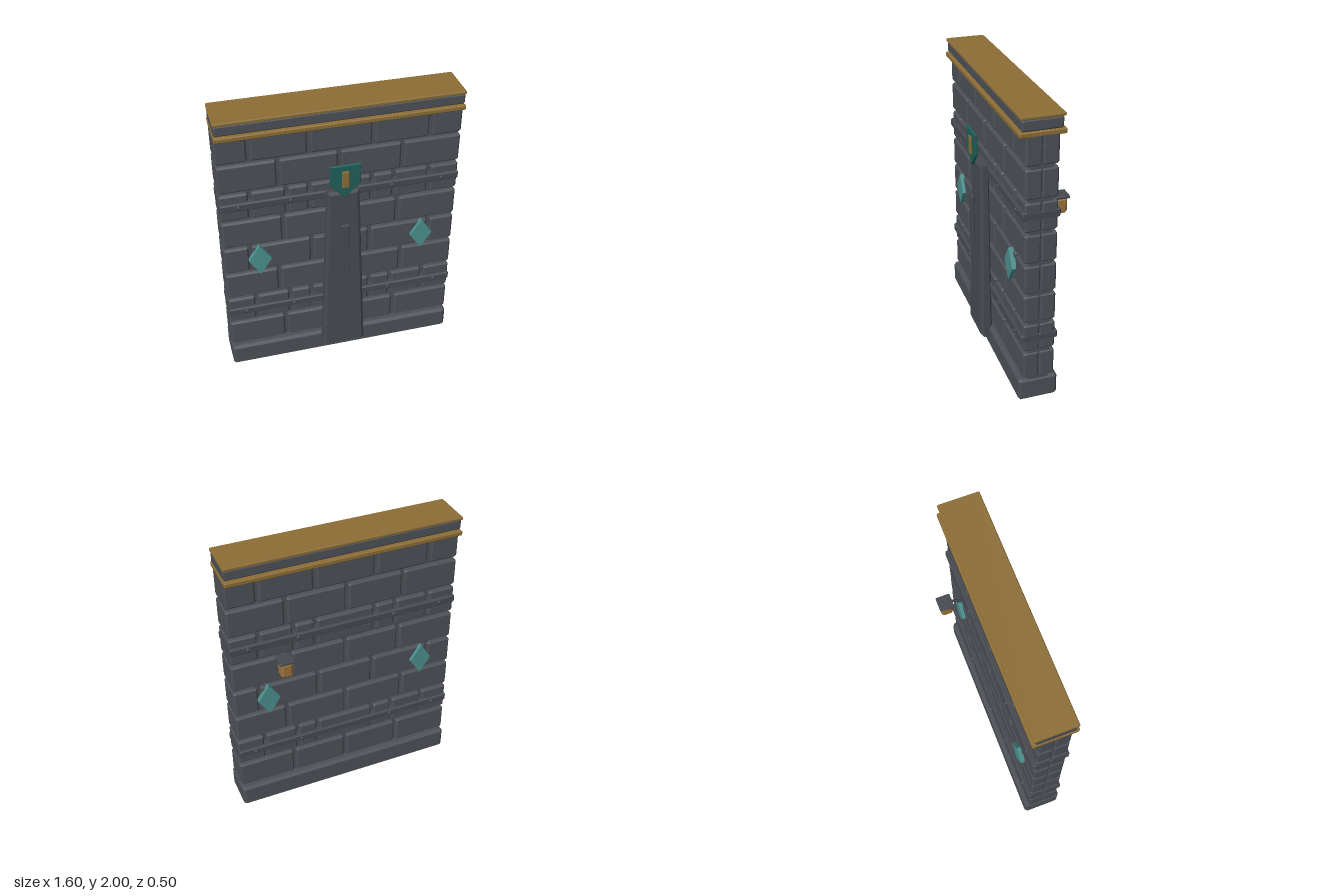
import * as THREE from 'three';
import { ConvexGeometry } from 'three/addons/geometries/ConvexGeometry.js';

const mat = (name, color) => {
  const m = new THREE.MeshStandardMaterial({ color });
  m.name = name;
  return m;
};

// Box with chamfered edges, from x, y and z ranges
function chamferBox([x0, x1], [y0, y1], [z0, z1], b) {
  const h = [(x1 - x0) / 2, (y1 - y0) / 2, (z1 - z0) / 2];
  const pts = [];
  for (const sx of [-1, 1]) for (const sy of [-1, 1]) for (const sz of [-1, 1]) {
    for (let a = 0; a < 3; a++) {
      const p = h.map((v, i) => (i === a ? v : v - b));
      pts.push(new THREE.Vector3(p[0] * sx, p[1] * sy, p[2] * sz));
    }
  }
  return new ConvexGeometry(pts).translate((x0 + x1) / 2, (y0 + y1) / 2, (z0 + z1) / 2);
}

// Flat plate cut from an outline, spanning z0 to z1, with a small bevel
function plate(points, z0, z1, b) {
  const shape = new THREE.Shape(points.map(([x, y]) => new THREE.Vector2(x, y)));
  const g = new THREE.ExtrudeGeometry(shape, {
    depth: z1 - z0 - 2 * b, bevelEnabled: b > 0, bevelSize: b, bevelOffset: -b,
    bevelThickness: b, bevelSegments: 1,
  });
  return g.translate(0, 0, z0 + b);
}

export function createModel() {
  const stone = mat('stone', 0x4c5056);
  const iron = mat('iron', 0x464a50);
  const gold = mat('gold', 0x8c6d35);
  const amber = mat('lanternGlass', 0x99733a);
  const teal = mat('shieldTeal', 0x1f5f5a);
  const crystal = mat('crystal', 0x4a908e);

  const root = new THREE.Group();
  root.name = 'stoneWall';
  const add = (name, geometry, material, parent = root) => {
    const m = new THREE.Mesh(geometry, material);
    m.name = name;
    parent.add(m);
    return m;
  };
  const group = (name) => {
    const g = new THREE.Group();
    g.name = name;
    root.add(g);
    return g;
  };

  // Core, base and layered coping
  add('core', chamferBox([-0.79, 0.79], [0.1, 1.9], [-0.03, 0.115], 0.002), stone);
  add('base', chamferBox([-0.8, 0.8], [0.005, 0.17], [-0.09, 0.175], 0.018), stone);
  add('lowerTrim', chamferBox([-0.8, 0.8], [1.87, 1.903], [-0.105, 0.187], 0.006), gold);
  add('coping', chamferBox([-0.797, 0.797], [1.905, 1.978], [-0.085, 0.172], 0.01), stone);
  add('topTrim', chamferBox([-0.8, 0.8], [1.978, 2], [-0.096, 0.18], 0.005), gold);

  // Courses of blocks on both faces
  const blocks = group('blocks');
  const seams = [
    [-0.4, 0, 0.39], [-0.6, -0.36, -0.21, 0.21, 0.36, 0.6], [-0.43, 0, 0.43],
    [-0.62, -0.2, 0.2, 0.62], [-0.39, 0, 0.39],
    [-0.6, -0.36, -0.21, 0.21, 0.36, 0.6], [-0.41, -0.01, 0.41], [-0.59, -0.21, 0.21, 0.59],
  ];
  const pitch = 0.2156;
  seams.forEach((row, i) => {
    const xs = [-0.81, ...row, 0.81];
    const y = [0.17 + i * pitch + 0.009, 0.17 + (i + 1) * pitch - 0.009];
    for (let k = 0; k + 1 < xs.length; k++) {
      const x = [xs[k] + 0.011, xs[k + 1] - 0.011];
      add('frontBlock', chamferBox(x, y, [0.04, 0.147], 0.012), stone, blocks);
      add('backBlock', chamferBox(x, y, [-0.063, 0.04], 0.012), stone, blocks);
    }
  });

  // Iron bands with rivets front and back
  const bands = group('ironBands');
  for (const y of [0.49, 1.367]) {
    add('band', chamferBox([-0.8, 0.8], [y - 0.028, y + 0.028], [-0.08, 0.165], 0.008), iron, bands);
    for (const x of [-0.68, -0.34, 0.34, 0.68]) for (const z of [-0.079, 0.164]) {
      const r = add('rivet', new THREE.SphereGeometry(0.015, 10, 6), iron, bands);
      r.position.set(x, y, z);
      r.scale.z = 0.8;
    }
  }

  // Tapered buttress, thinner towards the top
  const bg = plate([[-0.153, 0.088], [0.153, 0.088], [0.107, 1.4], [-0.107, 1.4]], 0, 1, 0.02);
  const p = bg.attributes.position;
  for (let i = 0; i < p.count; i++) {
    const t = (p.getY(i) - 0.088) / 1.312;
    const z = p.getZ(i);
    const f = z < 0.01 ? 0 : z < 0.5 ? 0.2 : z < 0.99 ? 0.75 : 1;
    p.setZ(i, 0.15 + f * (0.085 - 0.028 * t));
  }
  bg.computeVertexNormals();
  add('buttress', bg, iron);
  add('buttressPlate', chamferBox([-0.03, 0.03], [0.775, 1.158], [0.232, 0.253], 0.003), iron);

  // Shield with gold emblem
  add('shield', plate([[-0.102, 1.622], [-0.102, 1.482], [0, 1.375], [0.102, 1.482], [0.102, 1.622]],
    0.224, 0.243, 0.004), teal);
  add('shieldEmblem', chamferBox([-0.024, 0.024], [1.458, 1.58], [0.238, 0.252], 0.004), gold);

  // Diamond crystals front and back
  for (const x of [-0.562, 0.562]) {
    const d = [[x, 0.808], [x + 0.077, 0.924], [x, 1.042], [x - 0.077, 0.924]];
    add('frontCrystal', plate(d, 0.14, 0.172, 0), crystal);
    add('backCrystal', plate(d, -0.087, -0.055, 0), crystal);
  }

  // Lantern hung from an arm on the back
  const lantern = group('lantern');
  const lx = 0.478;
  const arm = new THREE.LineCurve3(new THREE.Vector3(lx, 1.245, -0.055), new THREE.Vector3(lx, 1.318, -0.175));
  add('lanternArm', new THREE.TubeGeometry(arm, 1, 0.01, 8), iron, lantern);
  add('lanternCap', chamferBox([lx - 0.05, lx + 0.05], [1.303, 1.323], [-0.25, -0.152], 0.004), iron, lantern);
  add('lanternBody', chamferBox([lx - 0.04, lx + 0.04], [1.195, 1.303], [-0.239, -0.159], 0.014), amber, lantern);

  return root;
}
